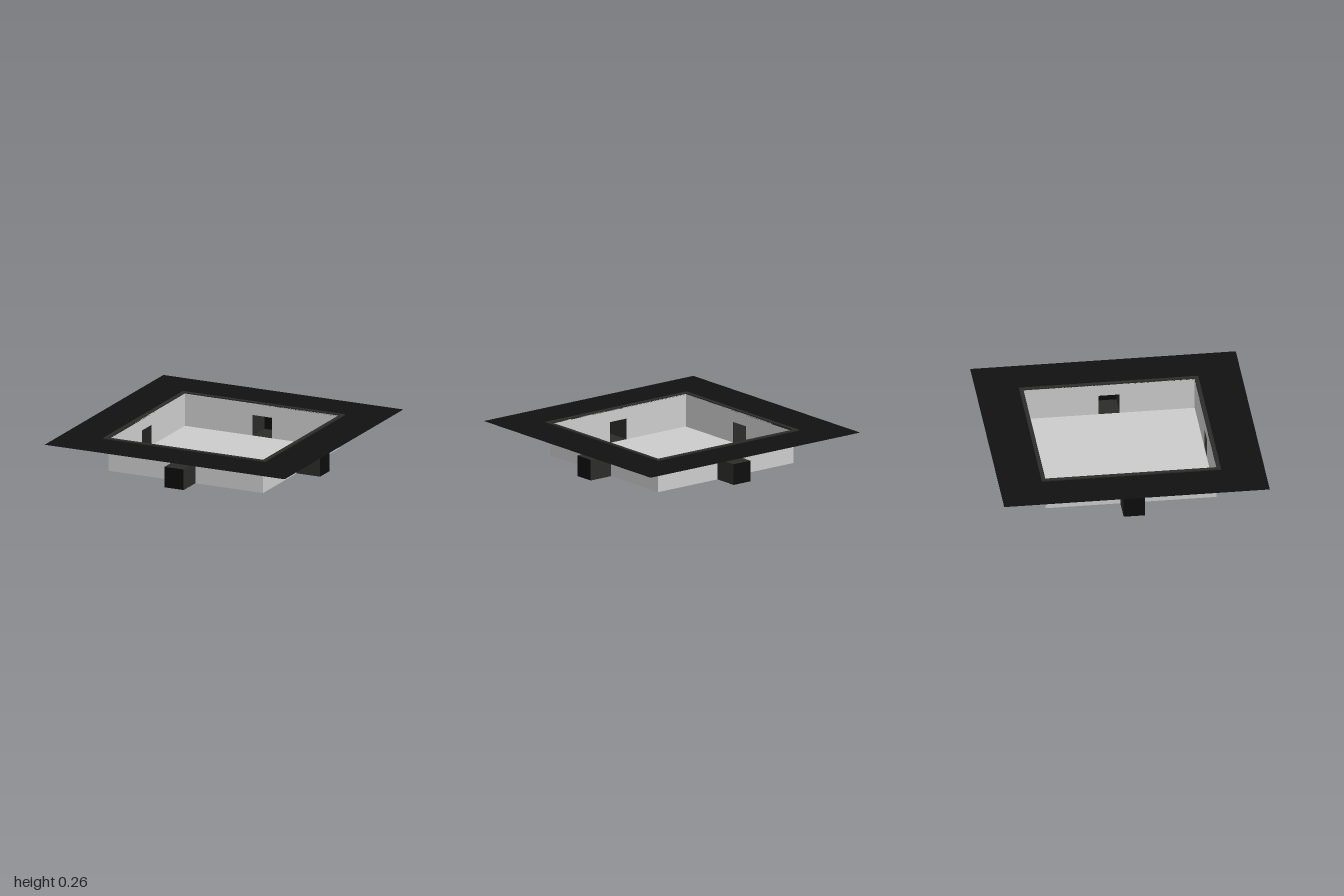
import * as THREE from 'three';

const HALF = 0.645;   // tray half width
const TOP = 0.252;    // height of the cover plate
const PORT = 0.16;    // width and height of each side port
const REACH = 0.84;   // outer end of the ports

const mat = (color) => new THREE.MeshStandardMaterial({ color, side: THREE.DoubleSide, flatShading: true });

// Square outline with a square hole, lying in the XY plane
function squareFrame(outer, inner) {
  const square = (Type, h) => new Type([[-h, -h], [h, -h], [h, h], [-h, h]].map(([x, y]) => new THREE.Vector2(x, y)));
  const shape = square(THREE.Shape, outer);
  shape.holes.push(square(THREE.Path, inner));
  return shape;
}

export function createModel() {
  const model = new THREE.Group();
  const grey = mat(0xcccccc), dark = mat(0x2b2b29), black = mat(0x111111), endBlack = mat(0x0c0c0c);

  const add = (parent, name, geometry, material) => {
    const mesh = new THREE.Mesh(geometry, material);
    mesh.name = name;
    parent.add(mesh);
    return mesh;
  };

  // Tray floor
  add(model, 'trayFloor', new THREE.PlaneGeometry(2 * HALF, 2 * HALF).rotateX(-Math.PI / 2), grey);

  // Wall outline with a notch at floor level where the port opens
  const p = PORT / 2;
  const wallShape = new THREE.Shape([
    [-HALF, 0], [-p, 0], [-p, PORT], [p, PORT], [p, 0], [HALF, 0], [HALF, TOP], [-HALF, TOP],
  ].map(([x, y]) => new THREE.Vector2(x, y)));
  const wallGeometry = new THREE.ShapeGeometry(wallShape).translate(0, 0, HALF);

  // Hollow port: four thin sides and a closed outer end
  const depth = REACH - HALF, midZ = (REACH + HALF) / 2;
  const flat = new THREE.PlaneGeometry(PORT, depth).rotateX(-Math.PI / 2);
  const upright = new THREE.PlaneGeometry(depth, PORT).rotateY(Math.PI / 2);
  const end = new THREE.PlaneGeometry(PORT, PORT);

  ['front', 'left', 'back', 'right'].forEach((side, i) => {
    const group = new THREE.Group();
    group.name = side + 'Side';
    group.rotation.y = i * Math.PI / 2;
    add(group, side + 'Wall', wallGeometry, grey);
    add(group, side + 'PortFloor', flat, dark).position.set(0, 0, midZ);
    add(group, side + 'PortRoof', flat, dark).position.set(0, PORT, midZ);
    for (const s of [-1, 1]) add(group, side + 'PortCheek', upright, dark).position.set(s * p, p, midZ);
    add(group, side + 'PortEnd', end, endBlack).position.set(0, p, REACH);
    model.add(group);
  });

  // Raised rim around the opening
  const rim = new THREE.ExtrudeGeometry(squareFrame(0.675, HALF), { depth: 0.015, bevelEnabled: false });
  add(model, 'rim', rim.rotateX(-Math.PI / 2).translate(0, 0.245, 0), dark);

  // Thin cover plate around the rim
  const plate = new THREE.ShapeGeometry(squareFrame(1, 0.674));
  add(model, 'coverPlate', plate.rotateX(-Math.PI / 2).translate(0, TOP, 0), black);

  return model;
}
